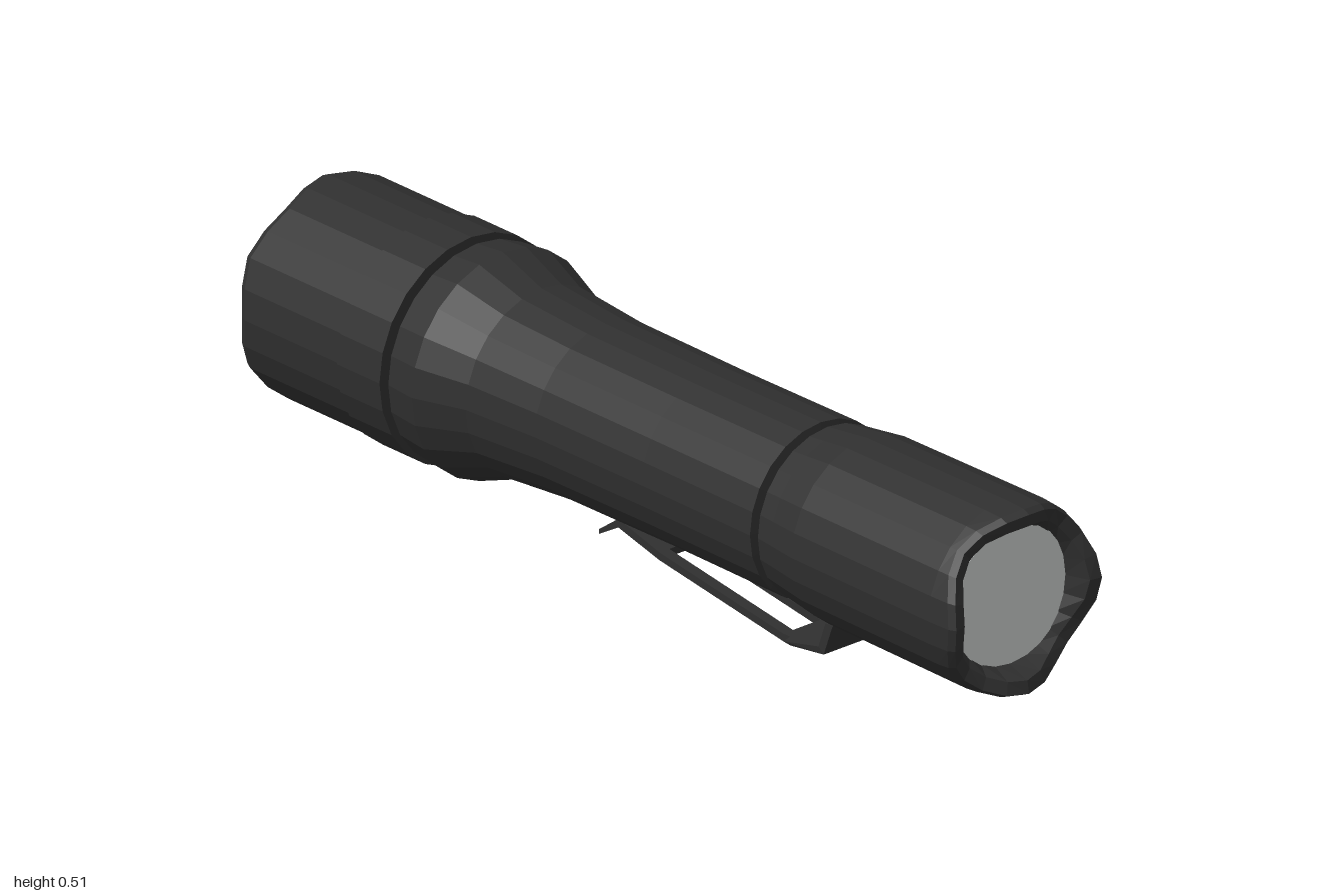
import * as THREE from 'three';

const AXIS_Y = 0.272;
const SIDES = 24;

// Facet a geometry so every face keeps its own normal
function faceted(geometry) {
  const flat = geometry.index ? geometry.toNonIndexed() : geometry;
  flat.computeVertexNormals();
  return flat;
}

// Lathe around the x axis from [x, radius] pairs; rims dips the end edges
function turned(profile, rims) {
  const g = new THREE.LatheGeometry(profile.map(([x, r]) => new THREE.Vector2(r, x)), SIDES);
  g.rotateZ(-Math.PI / 2);
  const p = g.attributes.position;
  for (let i = 0; rims && i < p.count; i++) {
    const angle = Math.atan2(p.getZ(i), p.getY(i) || 1e-9);
    p.setX(i, rims(p.getX(i), angle));
  }
  return faceted(g);
}

export function createModel() {
  const black = new THREE.MeshStandardMaterial({ color: 0x303030 });
  black.name = 'matte black';
  const glass = new THREE.MeshStandardMaterial({ color: 0xcbcecc });
  glass.name = 'pale grey';

  const model = new THREE.Group();
  model.name = 'flashlight';
  const add = (parent, name, geometry, material) => {
    const mesh = new THREE.Mesh(geometry, material);
    mesh.name = name;
    parent.add(mesh);
    return mesh;
  };

  const barrel = new THREE.Group();
  barrel.name = 'barrel';
  barrel.position.y = AXIS_Y;
  model.add(barrel);

  // Head with a softly scalloped bezel
  add(barrel, 'head', turned([
    [-0.96, 0.172], [-1, 0.2], [-1, 0.222], [-0.985, 0.229],
    [-0.7, 0.229], [-0.7, 0.234], [-0.58, 0.234], [-0.578, 0.2],
  ], (x, a) => (x < -0.98 ? x + 0.009 * (1 - Math.cos(6 * a)) : x)), black);

  // Body: collar, taper and grip
  add(barrel, 'body', turned([
    [-0.578, 0.2], [-0.566, 0.2], [-0.564, 0.226], [-0.49, 0.233], [-0.38, 0.194],
    [-0.2, 0.181], [0.1, 0.179], [0.41, 0.181], [0.413, 0.16], [0.426, 0.16],
  ]), black);

  // Tail cap with four notches in the rim
  add(barrel, 'tailCap', turned([
    [0.426, 0.16], [0.429, 0.178], [0.47, 0.183], [0.54, 0.192], [0.93, 0.195],
    [0.985, 0.193], [1, 0.186], [0.995, 0.16], [0.94, 0.14],
  ], (x, a) => (x > 0.96 ? x - 0.019 * (1 - Math.cos(4 * a)) : x)), black);

  // Lens and tail button
  const lens = add(barrel, 'lens', new THREE.CircleGeometry(0.175, SIDES), glass);
  lens.rotation.y = -Math.PI / 2;
  lens.position.x = -0.965;
  const button = add(barrel, 'tailButton', new THREE.CircleGeometry(0.145, SIDES), glass);
  button.rotation.y = Math.PI / 2;
  button.position.x = 0.945;

  // Pocket clip: side outlines extruded across z, widening at the mount
  const clip = new THREE.Group();
  clip.name = 'pocketClip';
  model.add(clip);
  const clipPart = (name, outline, z0, z1) => {
    const shape = new THREE.Shape(outline.map(([x, y]) => new THREE.Vector2(x, y)));
    const g = new THREE.ExtrudeGeometry(shape, { depth: z1 - z0, bevelEnabled: false });
    g.translate(0, 0, z0);
    const p = g.attributes.position;
    for (let i = 0; i < p.count; i++) {
      const x = p.getX(i);
      p.setZ(i, p.getZ(i) * (x > 0.48 ? 1.38 : x < -0.05 ? 0.8 : 1));
    }
    add(clip, name, faceted(g), black);
  };
  clipPart('clipTip', [
    [-0.165, 0.042], [-0.11, 0.074], [0.02, 0.053], [0.02, 0.069], [-0.11, 0.092], [-0.165, 0.052],
  ], -0.06, 0.06);
  for (const side of [-1, 1]) {
    const z = side < 0 ? -0.06 : 0.035;
    clipPart('clipRail', [[0.02, 0.053], [0.37, 0.002], [0.37, 0.018], [0.02, 0.069]], z, z + 0.025);
  }
  clipPart('clipMount', [
    [0.37, 0.002], [0.39, 0], [0.51, 0.028], [0.535, 0.095], [0.515, 0.095],
    [0.495, 0.04], [0.39, 0.018], [0.37, 0.018],
  ], -0.06, 0.06);

  return model;
}
